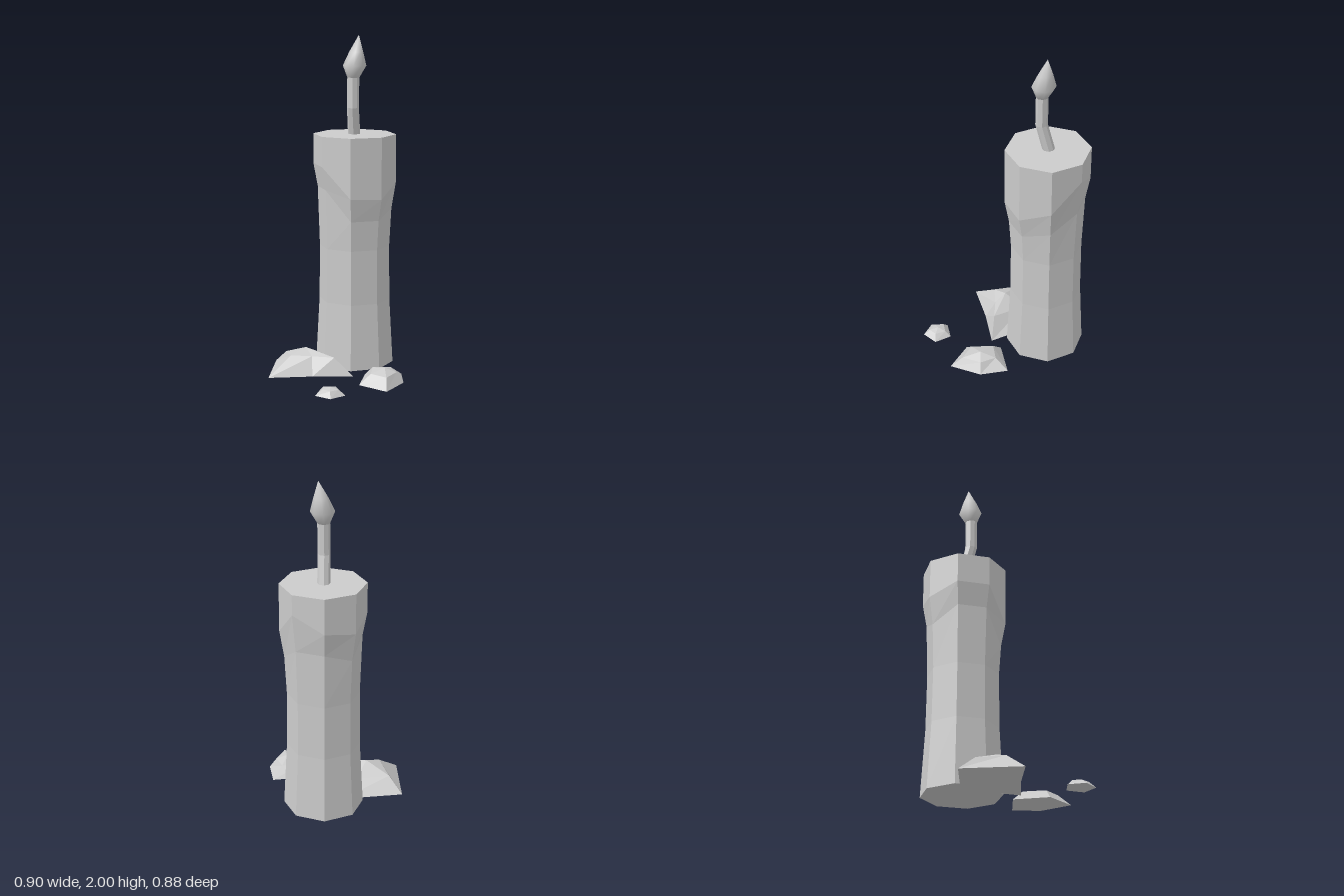
import * as THREE from 'three';

const flat = new THREE.MeshStandardMaterial({ color: 0xcccccc, flatShading: true });
const smooth = new THREE.MeshStandardMaterial({ color: 0xcccccc });

// Skin equal-sized rings of [x, y, z] points (counterclockwise seen from above, bottom to top),
// closed below and above by a fan to the given points.
function loft(name, rings, bottom, top, material) {
  const n = rings[0].length;
  const points = [...rings.flat(), bottom, top];
  const b = points.length - 2, t = points.length - 1, last = (rings.length - 1) * n;
  const index = [];
  for (let i = 0; i < n; i++) {
    const j = (i + 1) % n;
    for (let r = 0; r < last; r += n) {
      index.push(r + i, r + j, r + n + j, r + i, r + n + j, r + n + i);
    }
    index.push(b, j, i, last + i, last + j, t);
  }
  const geo = new THREE.BufferGeometry();
  geo.setAttribute('position', new THREE.Float32BufferAttribute(points.flat(), 3));
  geo.setIndex(index);
  geo.computeVertexNormals();
  const mesh = new THREE.Mesh(geo, material);
  mesh.name = name;
  return mesh;
}

// Eight-sided ring; the height is a number or one value per corner
function ring(x, z, radius, y) {
  return Array.from({ length: 8 }, (_, i) => {
    const a = THREE.MathUtils.degToRad(3 - 45 * i);
    return [x + radius * Math.cos(a), Array.isArray(y) ? y[i] : y, z + radius * Math.sin(a)];
  });
}

// Wax puddle or lump: five-cornered base, inner ring and apex
function lump(name, base, shoulder, apex) {
  const foot = base.map(([x, z]) => [x, 0, z]);
  const centre = [0, 1, 2].map((k) => foot.reduce((s, p) => s + p[k], 0) / foot.length);
  return loft(name, [foot, shoulder], centre, apex, flat);
}

export function createModel() {
  const group = new THREE.Group();

  // Candle body with an uneven lip of melted wax
  const lip = [1.04, 1.12, 1.29, 1.2, 1.17, 1.23, 1.23, 1.05];
  const underLip = [0.91, 0.96, 1.06, 1.06, 1.0, 1.09, 1.09, 0.91];
  const cx = -0.13, cz = -0.192;
  loftInto('candleBody', [
    ring(cx, cz, 0.237, 0),
    ring(cx, cz, 0.215, 0.4),
    ring(cx, cz, 0.212, 0.73),
    ring(cx, cz, 0.224, underLip),
    ring(cx, cz, 0.25, lip),
    ring(cx, cz, 0.25, 1.41),
  ], [cx, 0, cz], [cx, 1.41, cz], flat);

  // Bent wick
  loftInto('wick', [
    ring(-0.135, -0.193, 0.037, 1.4),
    ring(-0.108, -0.158, 0.036, 1.57),
    ring(-0.107, -0.16, 0.036, 1.76),
  ], [-0.135, 1.4, -0.193], [-0.107, 1.76, -0.16], flat);

  // Flame leaning back to its tip
  loftInto('flame', [
    ring(-0.107, -0.16, 0.036, 1.75),
    ring(-0.107, -0.17, 0.07, 1.82),
    ring(-0.105, -0.181, 0.042, 1.9),
  ], [-0.107, 1.75, -0.16], [-0.1, 2, -0.198], smooth);

  function loftInto(...args) {
    group.add(loft(...args));
  }

  // Wax lumps on the ground
  group.add(
    lump('largeWaxLump',
      [[-0.45, 0.17], [-0.205, 0.43], [-0.05, 0.22], [0.11, 0.04], [-0.21, -0.1]],
      [[-0.34, 0.085, 0.18], [-0.195, 0.108, 0.265], [-0.1, 0.105, 0.18], [0.01, 0.105, 0.1], [-0.2, 0.08, 0.03]],
      [-0.178, 0.142, 0.16]),
    lump('mediumWaxLump',
      [[0.125, -0.045], [0.255, 0.125], [0.45, 0.09], [0.395, -0.1], [0.265, -0.21]],
      [[0.195, 0.06, -0.04], [0.285, 0.062, 0.06], [0.395, 0.06, 0.04], [0.36, 0.06, -0.075], [0.27, 0.06, -0.12]],
      [0.308, 0.086, -0.03]),
    lump('smallWaxLump',
      [[0.17, 0.355], [0.228, 0.44], [0.33, 0.415], [0.34, 0.31], [0.24, 0.27]],
      [[0.205, 0.032, 0.358], [0.24, 0.032, 0.395], [0.3, 0.032, 0.39], [0.308, 0.032, 0.335], [0.25, 0.032, 0.305]],
      [0.262, 0.045, 0.355]),
  );
  return group;
}
